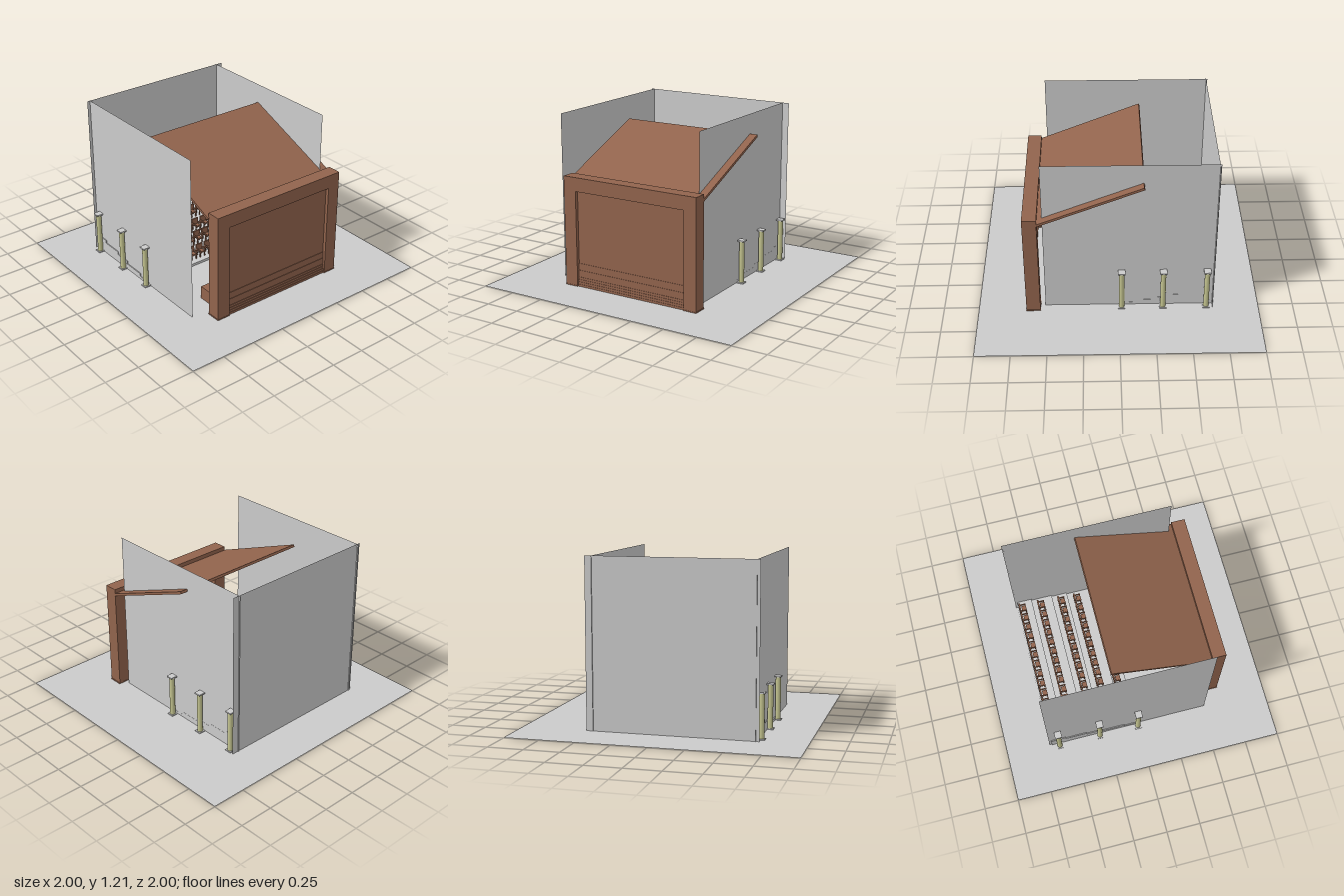
import * as THREE from 'three';

const mat = (color, side = THREE.FrontSide) => new THREE.MeshStandardMaterial({ color, side });
const grey = mat(0xcccccc);
const sheet = mat(0xcccccc, THREE.DoubleSide);
const brown = mat(0x92644d);
const olive = mat(0xc5c590);

function add(parent, name, geometry, material, x = 0, y = 0, z = 0) {
  const mesh = new THREE.Mesh(geometry, material);
  mesh.name = name;
  mesh.position.set(x, y, z);
  parent.add(mesh);
  return mesh;
}

// Box given by its base height and its height
function box(parent, name, material, w, h, d, x, base, z) {
  return add(parent, name, new THREE.BoxGeometry(w, h, d), material, x, base + h / 2, z);
}

function group(parent, name, x = 0, y = 0, z = 0) {
  const g = new THREE.Group();
  g.name = name;
  g.position.set(x, y, z);
  parent.add(g);
  return g;
}

// Chair facing +z
function buildSeat(parent, x, y, z) {
  const seat = group(parent, 'seat', x, y, z);
  box(seat, 'seatPad', brown, 0.036, 0.012, 0.036, 0, 0.035, 0.008);
  box(seat, 'seatBack', brown, 0.058, 0.06, 0.012, 0, 0.03, -0.022);
  for (const s of [-1, 1]) {
    box(seat, 'armrest', brown, 0.008, 0.01, 0.05, s * 0.025, 0.05, 0.002);
    for (const dz of [-0.02, 0.02]) box(seat, 'seatLeg', brown, 0.007, 0.05, 0.007, s * 0.02, 0, dz);
  }
}

// Round post with square base and cap
function buildPost(parent, x, z) {
  const post = group(parent, 'post', x, 0, z);
  add(post, 'postShaft', new THREE.CylinderGeometry(0.019, 0.019, 0.31, 20), olive, 0, 0.16, 0);
  box(post, 'postBase', grey, 0.05, 0.01, 0.05, 0, 0, 0);
  box(post, 'postCap', grey, 0.05, 0.01, 0.05, 0, 0.315, 0);
}

export function createModel() {
  const model = new THREE.Group();
  model.name = 'theatre';

  // Ground sheet
  const ground = add(model, 'ground', new THREE.PlaneGeometry(2, 2), sheet, 0, 0.003, 0);
  ground.rotation.x = -Math.PI / 2;

  // Thin walls on three sides
  const wall = new THREE.PlaneGeometry(1.205, 1.205);
  add(model, 'backWall', wall, sheet, -0.07, 0.6025, -0.67);
  for (const x of [-0.65, 0.482]) {
    add(model, 'sideWall', wall, sheet, x, 0.6025, -0.077).rotation.y = Math.PI / 2;
  }

  // Stage frame with an opening down to the ground
  const outline = new THREE.Shape([
    [-0.535, 0], [-0.437, 0], [-0.437, 0.7], [0.445, 0.7],
    [0.445, 0], [0.54, 0], [0.54, 0.8], [-0.535, 0.8],
  ].map(([x, y]) => new THREE.Vector2(x, y)));
  const frame = new THREE.ExtrudeGeometry(outline, { depth: 0.1, bevelEnabled: false });
  add(model, 'stageFrame', frame, brown, 0, 0, 0.56);
  for (const x of [-0.487, 0.493]) box(model, 'columnFoot', brown, 0.102, 0.01, 0.104, x, 0, 0.61);

  // Panel closing the opening, with stepped boards along its foot
  box(model, 'stagePanel', brown, 0.884, 0.7, 0.02, 0.004, 0, 0.625);
  [0.17, 0.12, 0.07, 0.053, 0.036, 0.019].forEach((h, i) =>
    box(model, 'footBoard', brown, 0.883, h, 0.004, 0.004, 0, 0.636 + i * 0.003));

  // Sloping roof behind the frame
  const run = 0.735, rise = 0.297;
  const roof = add(model, 'roof', new THREE.BoxGeometry(1.086, 0.018, Math.hypot(run, rise)),
    brown, -0.003, 0.906, 0.197);
  roof.rotation.x = Math.atan2(rise, run);

  // Low stage furniture under the roof
  box(model, 'counter', brown, 0.38, 0.1, 0.1, 0.2, 0, 0.39);
  box(model, 'stand', brown, 0.1, 0.1, 0.1, -0.41, 0, 0.42);

  // Rising tiers with rows of seats: front edge, back edge, row position
  const tiers = [
    [0, -0.1, -0.065], [-0.1, -0.27, -0.2], [-0.27, -0.39, -0.325],
    [-0.39, -0.55, -0.485], [-0.55, -0.662, -0.63],
  ];
  tiers.forEach(([front, back, row], i) => {
    const top = 0.022 * (i + 1);
    box(model, 'tier', grey, 1.14, top, front - back, -0.087, 0, (front + back) / 2);
    const seats = group(model, 'seatRow');
    for (let n = 0; n < 14; n++) buildSeat(seats, -0.6 + n * 0.0775, top, row);
  });

  // Posts along both side walls
  for (const z of [-0.605, -0.295, 0]) buildPost(model, -0.675, z);
  for (const z of [-0.625, -0.315, -0.02]) buildPost(model, 0.512, z);

  return model;
}
